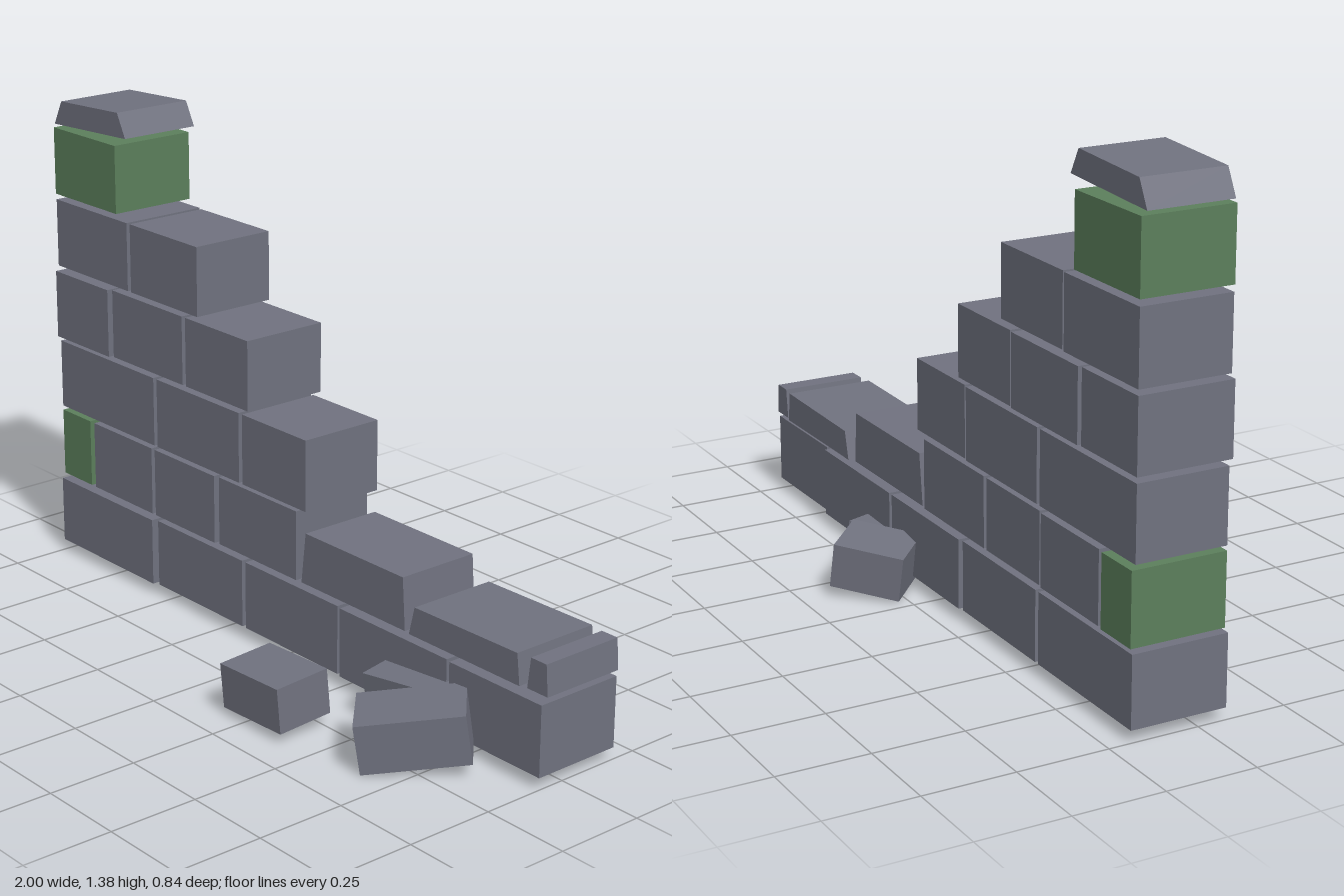
import * as THREE from 'three';

export function createModel() {
  const root = new THREE.Group();
  const stone = new THREE.MeshStandardMaterial({ color: 0x70727f });
  stone.name = 'grey stone';
  const moss = new THREE.MeshStandardMaterial({ color: 0x5c7f5c });
  moss.name = 'mossy green';

  // Block with a straight base; top corners given as [left x, left y, right x, right y]
  function block(name, x0, x1, y0, y1, zBack, zFront, mat = stone, top = [x0, y1, x1, y1], y0r = y0) {
    const shape = new THREE.Shape([
      new THREE.Vector2(x0, y0), new THREE.Vector2(x1, y0r),
      new THREE.Vector2(top[2], top[3]), new THREE.Vector2(top[0], top[1]),
    ]);
    const geo = new THREE.ExtrudeGeometry(shape, { depth: zFront - zBack, bevelEnabled: false });
    geo.translate(0, 0, zBack);
    const mesh = new THREE.Mesh(geo, mat);
    mesh.name = name;
    root.add(mesh);
  }

  // Whole courses, bottom to top: height range and [x0, x1, zBack, zFront, mossy]
  const courses = [
    { y: [0.04, 0.235], bricks: [
      [-1, -0.56, -0.19, 0.08], [-0.545, -0.165, -0.19, 0.07], [-0.15, 0.235, -0.195, 0.07],
      [0.25, 0.66, -0.195, 0.075], [0.675, 1, -0.18, 0.08]] },
    { y: [0.25, 0.447], bricks: [
      [-1, -0.865, -0.195, 0.07, true], [-0.845, -0.57, -0.19, 0.07],
      [-0.555, -0.285, -0.185, 0.07], [-0.27, 0.06, -0.185, 0.065]] },
    { y: [0.46, 0.66], bricks: [
      [-1, -0.555, -0.185, 0.07], [-0.54, -0.175, -0.185, 0.07], [-0.16, 0.105, -0.18, 0.07]] },
    { y: [0.675, 0.872], bricks: [
      [-1, -0.75, -0.185, 0.08], [-0.74, -0.42, -0.19, 0.07], [-0.405, -0.135, -0.185, 0.07]] },
    { y: [0.887, 1.083], bricks: [[-1, -0.665, -0.185, 0.07], [-0.65, -0.35, -0.18, 0.07]] },
    { y: [1.1, 1.293], bricks: [[-1, -0.71, -0.185, 0.072, true]] },
  ];
  courses.forEach(({ y, bricks }, row) => bricks.forEach(([x0, x1, zb, zf, mossy], i) => {
    block(`${mossy ? 'mossyBrick' : 'brick'}_${row}_${i}`, x0, x1, y[0], y[1], zb, zf, mossy ? moss : stone);
  }));

  // Broken stones with tapered ends on the second course
  block('brokenBrick_0', 0.08, 0.49, 0.25, 0.395, -0.18, 0.063, stone, [0.097, 0.395, 0.48, 0.395]);
  block('brokenBrick_1', 0.51, 0.91, 0.25, 0.335, -0.192, 0.067, stone, [0.53, 0.33, 0.9, 0.335]);
  block('brokenBrick_2', 0.93, 1, 0.25, 0.335, -0.185, 0.06, stone, [0.94, 0.335, 0.993, 0.335]);

  // Tilted capstone
  block('capstone', -1, -0.665, 1.303, 0, -0.17, 0.068, stone, [-0.965, 1.373, -0.7, 1.387], 1.32);

  // Fallen stones: size, centre, rotation (yaw first)
  const rubble = [
    [[0.23, 0.125, 0.165], [0.29, 0.098, 0.327], [0.06, 0.0, 0.04]],
    [[0.28, 0.135, 0.18], [0.69, 0.098, 0.21], [0.04, 0.8, 0.145]],
    [[0.25, 0.13, 0.19], [0.56, 0.1, 0.05], [0.08, 0.105, 0.1]],
    [[0.195, 0.125, 0.17], [0.145, 0.093, -0.29], [-0.06, 0.8, 0.13]],
    [[0.18, 0.1, 0.15], [0.3, 0.075, -0.17], [0.08, 0.48, 0.07]],
  ];
  rubble.forEach(([size, pos, rot], i) => {
    const mesh = new THREE.Mesh(new THREE.BoxGeometry(...size), stone);
    mesh.name = `fallenStone_${i}`;
    mesh.position.set(...pos);
    mesh.rotation.set(...rot, 'YXZ');
    root.add(mesh);
  });
  return root;
}
